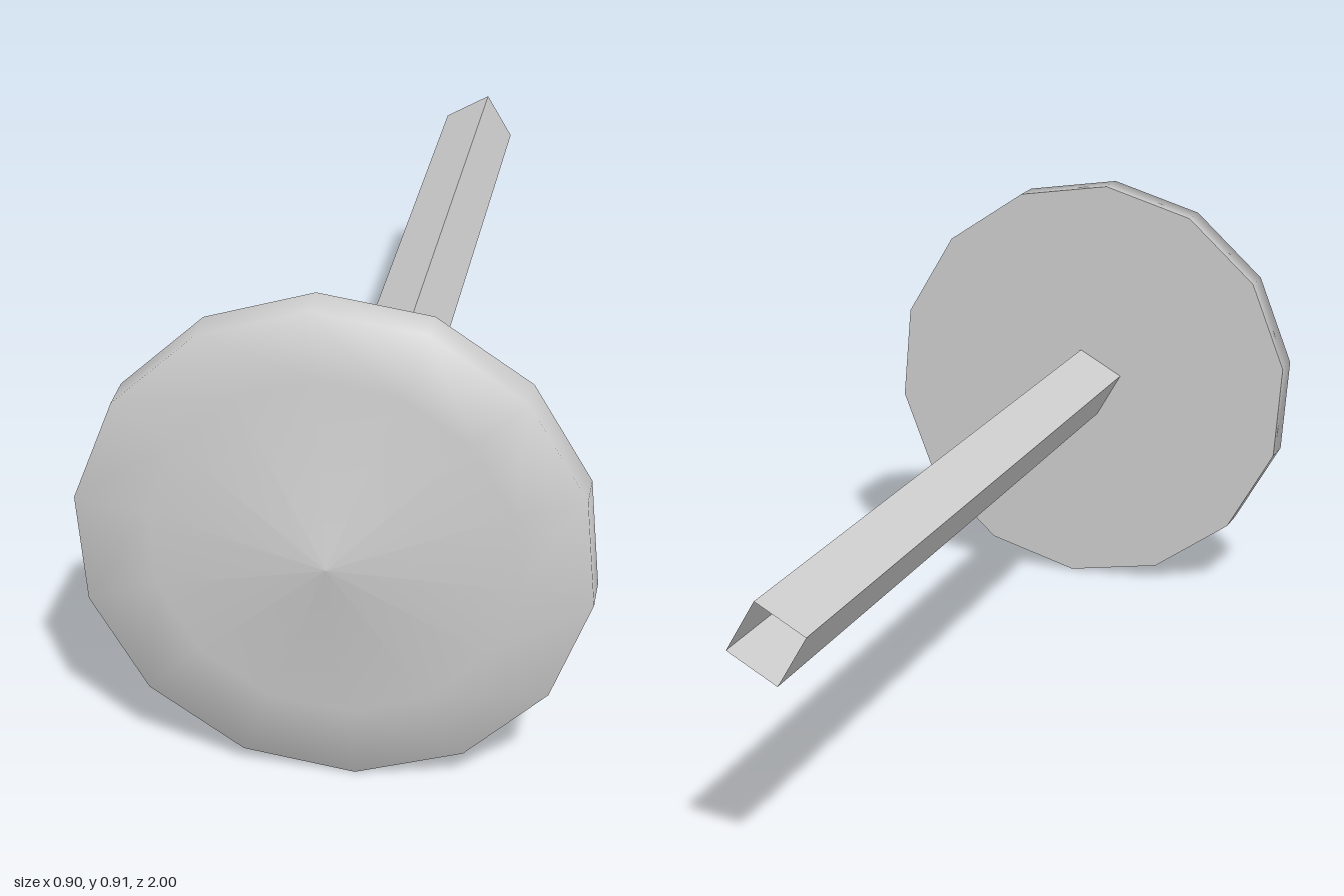
import * as THREE from 'three';

const CENTRE_Y = 0.457;
const SIDES = 14;
const TURN = 0.076; // slight roll of the disc about its axis

export function createModel() {
  const model = new THREE.Group();
  const grey = new THREE.MeshStandardMaterial({ color: 0xcccccc, side: THREE.DoubleSide });
  grey.name = 'light grey';

  const add = (name, geometry, z = 0) => {
    const mesh = new THREE.Mesh(geometry, grey);
    mesh.name = name;
    mesh.position.set(0, CENTRE_Y, z);
    model.add(mesh);
  };

  // Smooth head: straight rim, flat ring and shallow cone, turned about z
  const profile = [[0.457, 0.862], [0.457, 0.935], [0.328, 0.935], [0, 1]]
    .map(([r, z]) => new THREE.Vector2(r, z));
  add('headFront', new THREE.LatheGeometry(profile, SIDES, TURN).rotateX(Math.PI / 2));

  // Flat back of the head, with a sharp edge against the rim
  add('headBack', new THREE.CircleGeometry(0.457, SIDES, -Math.PI / 2 - TURN).rotateY(Math.PI), 0.862);

  // Square hollow shaft, open at the rear
  const shaft = new THREE.CylinderGeometry(0.077, 0.077, 1.862, 4, 1, true, -0.265)
    .rotateX(Math.PI / 2)
    .toNonIndexed();
  shaft.computeVertexNormals();
  add('shaft', shaft, -0.069);

  return model;
}
